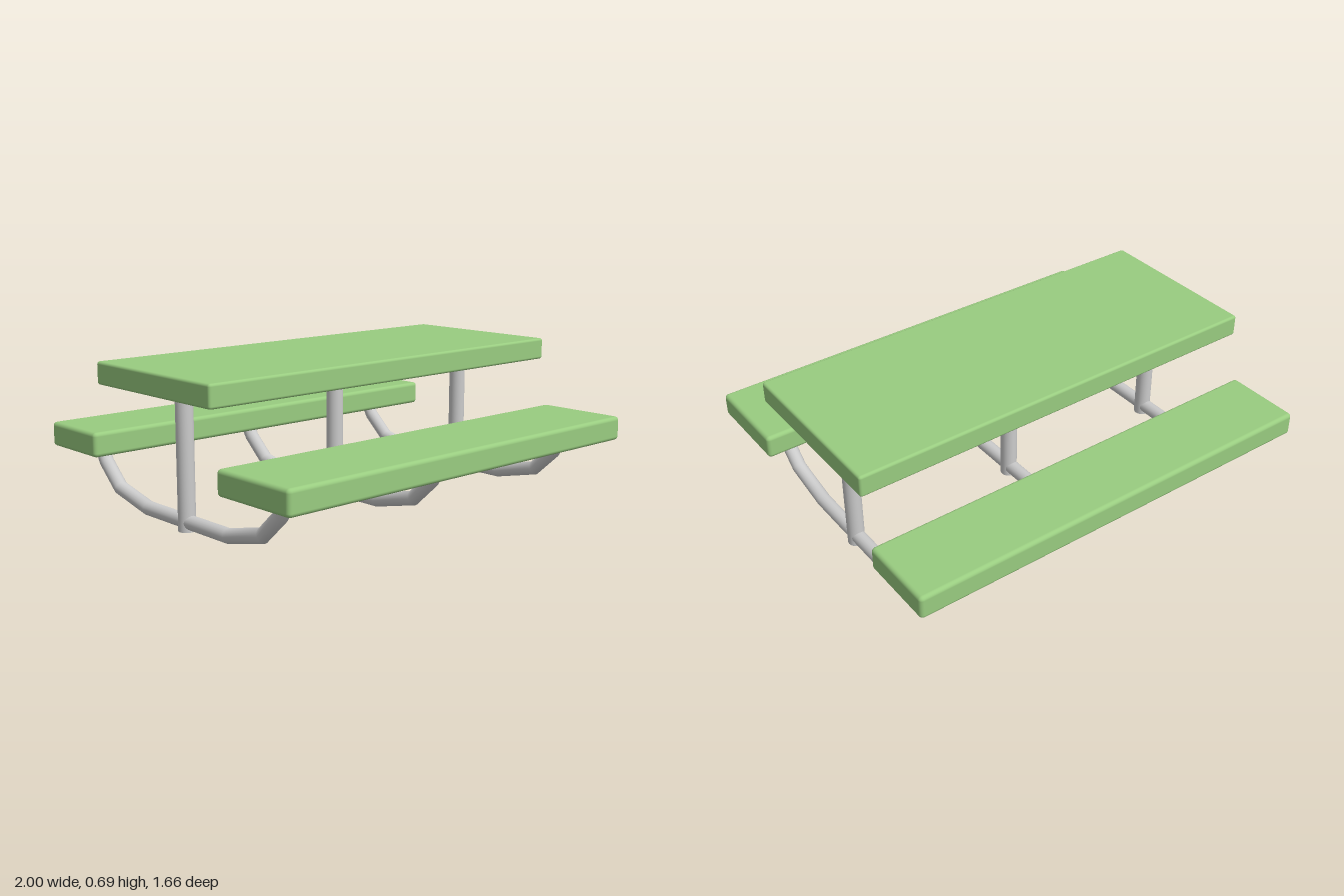
import * as THREE from 'three';
import { RoundedBoxGeometry } from 'three/addons/geometries/RoundedBoxGeometry.js';

const green = new THREE.MeshStandardMaterial({ color: 0x99cc80 });
const grey = new THREE.MeshStandardMaterial({ color: 0xcccccc, side: THREE.DoubleSide });

const AXIS_Z = -0.03; // line of the posts

// Rounded plank spanning the full length
function plank(name, y0, y1, z0, z1, radius) {
  const mesh = new THREE.Mesh(new RoundedBoxGeometry(2, y1 - y0, z1 - z0, 3, radius), green);
  mesh.name = name;
  mesh.position.set(0, (y0 + y1) / 2, (z0 + z1) / 2);
  return mesh;
}

// Pipe with mitred bends along [z, y] points
function bentPipe(path, radius, sides = 20) {
  const pts = path.map(([z, y]) => new THREE.Vector2(z, y));
  const pos = [], index = [];
  pts.forEach((p, i) => {
    const a = p.clone().sub(pts[Math.max(i - 1, 0)]).normalize();
    const b = pts[Math.min(i + 1, pts.length - 1)].clone().sub(p).normalize();
    const t = a.clone().add(b).normalize();
    const mitre = radius / Math.max(t.dot(a), t.dot(b));
    for (let k = 0; k < sides; k++) {
      const ang = (k / sides) * Math.PI * 2, s = Math.sin(ang) * mitre;
      pos.push(Math.cos(ang) * radius, p.y + t.x * s, p.x - t.y * s);
      if (i < pts.length - 1) {
        const q = i * sides + k, r = i * sides + (k + 1) % sides;
        index.push(q, r, q + sides, r, r + sides, q + sides);
      }
    }
  });
  const geo = new THREE.BufferGeometry();
  geo.setAttribute('position', new THREE.Float32BufferAttribute(pos, 3));
  geo.setIndex(index);
  geo.computeVertexNormals();
  return geo;
}

export function createModel() {
  const model = new THREE.Group();
  model.name = 'picnicTable';

  // Table top and the two benches
  model.add(
    plank('tableTop', 0.59, 0.69, -0.43, 0.37, 0.012),
    plank('frontBench', 0.26, 0.37, 0.40, 0.83, 0.018),
    plank('backBench', 0.26, 0.37, -0.83, -0.47, 0.018)
  );

  // Half of the bench support, measured outward from the post
  const half = [[0.285, 0.04], [0.505, 0.09], [0.615, 0.19], [0.668, 0.28]];
  const path = [
    ...half.slice().reverse().map(([d, y]) => [AXIS_Z + d, y]),
    ...half.map(([d, y]) => [AXIS_Z - d, y])
  ];
  const pipeGeo = bentPipe(path, 0.032);
  const postGeo = new THREE.CylinderGeometry(0.038, 0.038, 0.585, 24);

  // Three frames, each a post on a curved bench support
  for (const [side, x] of [['right', -0.835], ['middle', 0], ['left', 0.83]]) {
    const frame = new THREE.Group();
    frame.name = side + 'Frame';
    frame.position.x = x;
    const post = new THREE.Mesh(postGeo, grey);
    post.name = 'post';
    post.position.set(0, 0.2925, AXIS_Z);
    const support = new THREE.Mesh(pipeGeo, grey);
    support.name = 'benchSupport';
    frame.add(post, support);
    model.add(frame);
  }
  return model;
}
